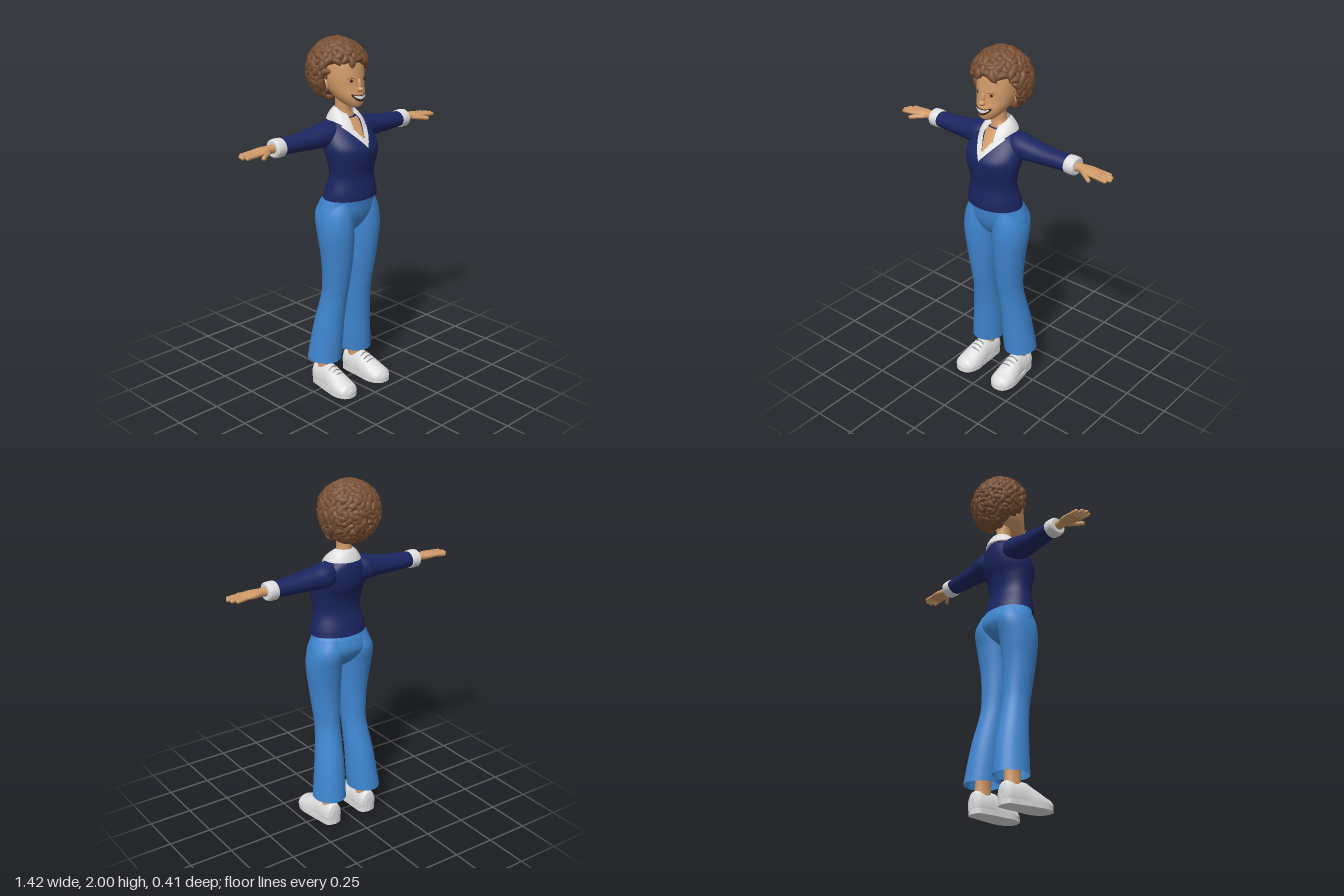
import * as THREE from 'three';
import { mergeGeometries } from 'three/addons/utils/BufferGeometryUtils.js';

const material = (name, color, side = THREE.FrontSide) => {
  const m = new THREE.MeshStandardMaterial({ color, side });
  m.name = name;
  return m;
};

// Cross-section values at t, smoothly interpolated. Section: [t, centreA, centreB, radiusA, radiusB]
function sectionAt(secs, t) {
  let i = 0;
  while (i < secs.length - 2 && t > secs[i + 1][0]) i++;
  const a = secs[i], b = secs[i + 1], p = secs[Math.max(i - 1, 0)], n = secs[Math.min(i + 2, secs.length - 1)];
  const h = b[0] - a[0], s = (t - a[0]) / h;
  return a.map((v, k) => {
    if (k === 0) return t;
    const m0 = (b[k] - p[k]) / (b[0] - p[0]) * h, m1 = (n[k] - a[k]) / (n[0] - a[0]) * h;
    return (2 * s ** 3 - 3 * s * s + 1) * v + (s ** 3 - 2 * s * s + s) * m0 + (3 * s * s - 2 * s ** 3) * b[k] + (s ** 3 - s * s) * m1;
  });
}

// Smooth elliptical loft along an axis; A and B are (z,y) for x, (x,z) for y, (y,x) for z
function loft(axis, secs, { caps = true, steps = 5, sides = 32, shape = null } = {}) {
  const pos = [], idx = [], rings = (secs.length - 1) * steps + 1;
  const order = { x: [0, 2, 1], y: [1, 0, 2], z: [2, 1, 0] }[axis];
  const put = (t, a, b) => {
    const p = [0, 0, 0];
    p[order[0]] = t; p[order[1]] = a; p[order[2]] = b;
    if (shape) shape(p);
    pos.push(...p);
  };
  const ring = (s) => {
    for (let j = 0; j < sides; j++) {
      const q = j / sides * Math.PI * 2;
      put(s[0], s[1] + s[3] * Math.cos(q), s[2] + s[4] * Math.sin(q));
    }
  };
  for (let r = 0; r < rings; r++) {
    const i = Math.min(Math.floor(r / steps), secs.length - 2), f = r / steps - i;
    ring(sectionAt(secs, secs[i][0] + (secs[i + 1][0] - secs[i][0]) * f));
    for (let j = 0; r > 0 && j < sides; j++) {
      const k = (j + 1) % sides, a = (r - 1) * sides, b = r * sides;
      idx.push(a + j, b + j, a + k, a + k, b + j, b + k);
    }
  }
  if (caps) [secs[0], secs[secs.length - 1]].forEach((s, end) => {
    const o = pos.length / 3;
    ring(s);
    put(s[0], s[1], s[2]);
    for (let j = 0; j < sides; j++) {
      const k = (j + 1) % sides;
      idx.push(o + sides, o + (end ? k : j), o + (end ? j : k));
    }
  });
  return build(pos, idx);
}

function build(pos, idx) {
  const g = new THREE.BufferGeometry();
  g.setAttribute('position', new THREE.Float32BufferAttribute(pos, 3));
  g.setIndex(idx);
  g.computeVertexNormals();
  return g;
}

// Grid surface from a rule (u, v) -> [x, y, z]
function grid(fn, nu, nv) {
  const pos = [], idx = [];
  for (let j = 0; j <= nv; j++) for (let i = 0; i <= nu; i++) {
    pos.push(...fn(i / nu, j / nv));
    if (i < nu && j < nv) {
      const a = j * (nu + 1) + i, b = a + nu + 1;
      idx.push(a, a + 1, b, a + 1, b + 1, b);
    }
  }
  return build(pos, idx);
}

// Thin patch laid on the front of an upright loft
const patch = (secs, off, fn, nu = 12, nv = 10) => grid((u, v) => {
  const [x, y] = fn(u, v), s = sectionAt(secs, y);
  return [x, y, s[2] + s[4] * Math.sqrt(Math.max(0, 1 - ((x - s[1]) / s[3]) ** 2)) + off];
}, nu, nv);

function mirrored(g) {
  const m = g.clone().scale(-1, 1, 1), ix = m.index.array;
  for (let i = 0; i < ix.length; i += 3) [ix[i], ix[i + 1]] = [ix[i + 1], ix[i]];
  m.computeVertexNormals();
  return m;
}

const ball = (x, y, z, rx, ry, rz) => new THREE.SphereGeometry(1, 24, 16).scale(rx, ry, rz).translate(x, y, z);

function finger(from, to, r) {
  const a = new THREE.Vector3(...from), d = new THREE.Vector3(...to).sub(a);
  const g = new THREE.CapsuleGeometry(r, d.length(), 5, 10);
  g.applyQuaternion(new THREE.Quaternion().setFromUnitVectors(new THREE.Vector3(0, 1, 0), d.clone().normalize()));
  return g.translate(...a.addScaledVector(d, 0.5).toArray());
}

export function createModel() {
  const model = new THREE.Group();
  const skin = material('skin', 0xcf9968), hair = material('hair brown', 0x784e32);
  const navy = material('sweater navy', 0x1b2560), denim = material('trouser blue', 0x3f86d0, THREE.DoubleSide);
  const white = material('white', 0xdedede, THREE.DoubleSide), grey = material('lace grey', 0x8c8c8c);
  const dark = material('dark brown', 0x3a231a);
  const add = (name, g, m) => {
    const mesh = new THREE.Mesh(g, m);
    mesh.name = name;
    model.add(mesh);
  };
  const pair = (name, g, m) => { add(name + 'Left', g, m); add(name + 'Right', mirrored(g), m); };

  // Sweater
  const torso = [[1.14, 0, 0.04, 0.165, 0.124], [1.18, 0, 0.044, 0.16, 0.119], [1.27, 0, 0.052, 0.14, 0.1],
    [1.36, 0, 0.055, 0.154, 0.115], [1.42, 0, 0.045, 0.165, 0.13], [1.47, 0, 0.025, 0.162, 0.12],
    [1.52, 0, 0.003, 0.14, 0.097], [1.56, 0, -0.01, 0.09, 0.075], [1.585, 0, -0.01, 0.055, 0.05]];
  add('sweaterBody', loft('y', torso, { sides: 40 }), navy);
  pair('sleeve', loft('x', [[0.07, -0.012, 1.495, 0.06, 0.068], [0.13, -0.014, 1.495, 0.075, 0.07], [0.2, -0.012, 1.49, 0.068, 0.061],
    [0.3, -0.016, 1.484, 0.059, 0.05], [0.44, -0.021, 1.481, 0.05, 0.043]]), navy);
  pair('cuff', loft('x', [[0.43, -0.022, 1.48, 0.045, 0.04], [0.437, -0.022, 1.48, 0.053, 0.049], [0.485, -0.022, 1.48, 0.053, 0.049],
    [0.493, -0.022, 1.48, 0.045, 0.041]]), white);

  // Open neckline, its trim and the folded collar with pointed wings
  add('necklineSkin', patch(torso, 0.004, (u, v) => [(2 * u - 1) * 0.056 * v, 1.465 + 0.11 * v]), skin);
  pair('necklineTrim', patch(torso, 0.008, (u, v) => {
    const x0 = 0.052 * v, x1 = 0.088 * v, y0 = 1.472 + 0.083 * v, y1 = 1.432 + 0.108 * v;
    return [x0 + (x1 - x0) * u, y1 * u + y0 * (1 - u)];
  }, 4, 14), white);
  add('collar', grid((u, v) => {
    const gap = 0.5 - 0.1 * v, q = gap + u * 2 * (Math.PI - gap), f = Math.max(0, Math.cos(q));
    const w = 0.6 * v + 0.4 * Math.sin(v * Math.PI / 2), top = 1.628 - 0.035 * f, low = 1.565 - 0.055 * f * f;
    return [Math.sin(q) * (0.05 + 0.052 * w), top + (low - top) * v ** 1.3, -0.008 + Math.cos(q) * (0.054 + 0.034 * w) + 0.042 * f * w];
  }, 48, 8), white);

  // Hands
  const palm = loft('x', [[0.47, -0.02, 1.481, 0.028, 0.025], [0.52, -0.02, 1.482, 0.028, 0.022], [0.56, -0.019, 1.482, 0.041, 0.021],
    [0.6, -0.017, 1.481, 0.046, 0.017], [0.64, -0.017, 1.479, 0.041, 0.011]]);
  const fingers = [[-0.05, 0.668], [-0.029, 0.69], [-0.006, 0.698], [0.017, 0.685]].map(([z, tip]) =>
    finger([0.615, 1.48, z], [tip, 1.475, z * 1.08], 0.0108));
  pair('palm', palm, skin);
  pair('fingers', mergeGeometries([...fingers, finger([0.54, 1.477, 0.005], [0.608, 1.468, 0.05], 0.012)]), skin);

  // Trousers
  add('hips', loft('y', [[0.945, 0, 0.028, 0.05, 0.04], [0.97, 0, 0.025, 0.12, 0.07], [1.01, 0, 0.02, 0.178, 0.1], [1.06, 0, 0.017, 0.19, 0.121],
    [1.12, 0, 0.026, 0.17, 0.12], [1.16, 0, 0.04, 0.154, 0.112]], { sides: 40 }), denim);
  pair('trouserLeg', loft('y', [[0.165, 0.12, -0.045, 0.093, 0.102], [0.28, 0.111, -0.034, 0.088, 0.097], [0.4, 0.103, -0.02, 0.081, 0.089],
    [0.55, 0.092, 0.008, 0.072, 0.079], [0.63, 0.09, 0.021, 0.073, 0.081], [0.8, 0.093, 0.034, 0.088, 0.093],
    [0.95, 0.1, 0.03, 0.099, 0.11], [1.05, 0.097, 0.018, 0.094, 0.118], [1.13, 0.08, 0.024, 0.075, 0.1]], { caps: false }), denim);

  // Ankles and shoes
  pair('ankle', loft('y', [[0.09, 0.122, -0.04, 0.042, 0.05], [0.16, 0.12, -0.037, 0.037, 0.046], [0.32, 0.11, -0.03, 0.045, 0.05]]), skin);
  pair('shoeUpper', loft('z', [[-0.11, 0.06, 0.122, 0.03, 0.02], [-0.1, 0.055, 0.122, 0.068, 0.045], [-0.05, 0.045, 0.123, 0.088, 0.056],
    [0.015, 0.04, 0.126, 0.098, 0.058], [0.07, 0.03, 0.13, 0.085, 0.066], [0.14, 0.025, 0.133, 0.055, 0.068],
    [0.18, 0.022, 0.134, 0.043, 0.055], [0.2, 0.022, 0.135, 0.015, 0.02]],
  { shape: (p) => { p[1] = Math.max(p[1], 0.02); } }), white);
  const outline = [[0.12, -0.113], [0.168, -0.095], [0.182, -0.03], [0.196, 0.05], [0.203, 0.13], [0.18, 0.188], [0.135, 0.205],
    [0.088, 0.188], [0.062, 0.13], [0.064, 0.05], [0.066, -0.03], [0.075, -0.095]].map(p => new THREE.Vector2(...p));
  const foot = new THREE.Shape(new THREE.SplineCurve([...outline, outline[0]]).getPoints(48));
  const sole = new THREE.ExtrudeGeometry(foot, { depth: 0.03, bevelEnabled: false, curveSegments: 1 }).rotateX(Math.PI / 2).translate(0, 0.03, 0);
  sole.setIndex([...Array(sole.attributes.position.count).keys()]);
  pair('shoeSole', sole, white);
  const laces = [0.035, 0.06, 0.085].map((z, i) => new THREE.TubeGeometry(new THREE.QuadraticBezierCurve3(
    new THREE.Vector3(0.096, 0.115 - i * 0.011, z), new THREE.Vector3(0.128, 0.151 - i * 0.017, z + 0.004),
    new THREE.Vector3(0.16, 0.115 - i * 0.011, z)), 8, 0.004, 6));
  pair('laces', mergeGeometries(laces), grey);

  // Neck, head and face
  const cx = -0.012;
  add('neck', loft('y', [[1.545, 0, -0.008, 0.08, 0.06], [1.585, -0.003, -0.008, 0.057, 0.053], [1.62, -0.01, -0.005, 0.041, 0.045],
    [1.72, cx, 0, 0.042, 0.048]]), skin);
  const head = [[1.642, cx, 0.088, 0.018, 0.02], [1.655, cx, 0.076, 0.044, 0.05], [1.7, cx, 0.04, 0.08, 0.093], [1.75, cx, 0.013, 0.1, 0.108],
    [1.82, cx, 0, 0.108, 0.115], [1.9, cx, -0.01, 0.1, 0.105], [1.95, cx, -0.02, 0.05, 0.055]];
  add('head', loft('y', head, { sides: 40 }), skin);
  add('nose', ball(cx, 1.741, 0.124, 0.017, 0.015, 0.024), skin);
  add('noseBridge', ball(cx, 1.763, 0.117, 0.011, 0.035, 0.017), skin);
  for (const s of [-1, 1]) {
    add(s > 0 ? 'earLeft' : 'earRight', ball(cx + s * 0.112, 1.755, -0.025, 0.016, 0.036, 0.024), skin);
    const ex = cx + s * 0.046;
    add('eye', patch(head, 0.003, (u, v) => [ex + (u - 0.5) * 0.018, 1.787 + (v - 0.5) * 0.018 * Math.sin(u * Math.PI)]), dark);
    add('eyelid', patch(head, 0.004, (u, v) => [ex + (u - 0.5) * 0.036, 1.795 + 0.005 * Math.sin(u * Math.PI) + v * 0.002]), dark);
  }
  const smile = (w, lo, hi, bend) => (u, v) => {
    const k = 2 * u - 1;
    return [cx + k * w, (lo + (hi - lo) * v) * (1 - k * k) + (hi + bend * v) * k * k];
  };
  add('mouth', patch(head, 0.004, smile(0.052, 1.677, 1.711, 0.01), 16, 6), dark);
  add('teeth', patch(head, 0.007, smile(0.042, 1.69, 1.708, 0.006), 16, 4), white);

  // Curly hair: rounded base covered in bent locks, leaving the face free
  add('hairBase', mergeGeometries([ball(-0.018, 1.825, -0.08, 0.147, 0.147, 0.1), ball(-0.018, 1.905, -0.02, 0.128, 0.07, 0.105)]), hair);
  let seed = 7;
  const rnd = () => (seed = (seed * 16807) % 2147483647) / 2147483647;
  const locks = [], count = 330, o = new THREE.Object3D();
  for (let i = 0; i < count; i++) {
    const ny = 1 - 2 * (i + 0.5) / count, r = Math.sqrt(1 - ny * ny), q = i * 2.39996;
    const n = new THREE.Vector3(r * Math.cos(q), ny, r * Math.sin(q));
    const x = -0.018 + n.x * 0.156, y = 1.827 + n.y * 0.153, z = -0.043 + n.z * (n.z > 0 ? 0.165 : 0.138);
    const twist = rnd() * Math.PI * 2, size = 0.9 + rnd() * 0.35;
    if ((y < 1.885 && z > -0.02 + (y - 1.75) * 0.5) || (y < 1.71 && z > -0.07)) continue;
    const g = new THREE.SphereGeometry(1, 10, 8), p = g.attributes.position;
    for (let k = 0; k < p.count; k++) p.setY(k, p.getY(k) * (1 - 0.3 * p.getX(k)) + 0.6 * p.getX(k) ** 2);
    g.computeVertexNormals();
    o.position.set(0, 0, 0);
    o.lookAt(n);
    o.rotateZ(twist);
    o.position.set(x, y, z);
    o.scale.set(0.034 * size, 0.019 * size, 0.02 * size);
    o.updateMatrix();
    locks.push(g.applyMatrix4(o.matrix));
  }
  add('hairCurls', mergeGeometries(locks), hair);
  return model;
}
